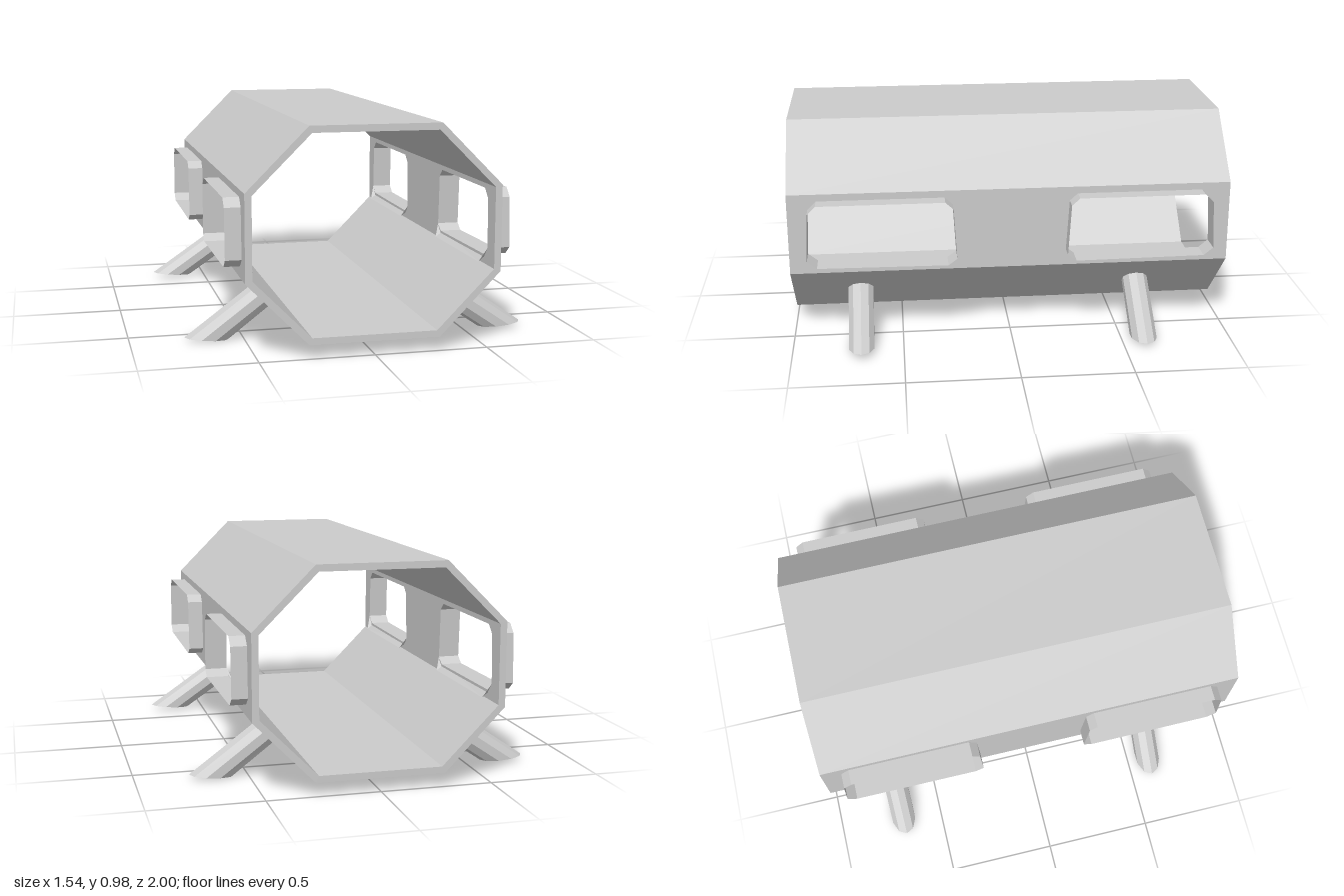
import * as THREE from 'three';

const solid = new THREE.MeshStandardMaterial({ color: 0xcccccc, flatShading: true });
const sheet = new THREE.MeshStandardMaterial({ color: 0xcccccc, flatShading: true, side: THREE.DoubleSide });

// Window outline in (z, y), front window; the back one is its mirror image
const WINDOW = [
  [0.25, 0.41], [0.29, 0.38], [0.875, 0.385], [0.918, 0.42],
  [0.908, 0.64], [0.87, 0.678], [0.3, 0.678], [0.264, 0.645],
];

function addMesh(parent, name, geometry, material) {
  const mesh = new THREE.Mesh(geometry, material);
  mesh.name = name;
  parent.add(mesh);
}

function polygon(points, Type = THREE.Shape) {
  return new Type(points.map(([x, y]) => new THREE.Vector2(x, y)));
}

// Open band of quads between two closed rings of [x, y, z] points
function band(a, b) {
  const n = a.length;
  const index = [];
  for (let i = 0; i < n; i++) {
    const j = (i + 1) % n;
    index.push(i, j, n + j, i, n + j, n + i);
  }
  const g = new THREE.BufferGeometry();
  g.setAttribute('position', new THREE.Float32BufferAttribute([...a, ...b].flat(), 3));
  g.setIndex(index);
  const flat = g.toNonIndexed();
  flat.computeVertexNormals();
  return flat;
}

// Three-panel shell running the full length: roof or floor
function shell(outer, inner) {
  const right = (p) => [-p[0], p[1]];
  const pts = [
    ...outer, ...[...outer].reverse().map(right),
    ...inner.map(right), ...[...inner].reverse(),
  ];
  const g = new THREE.ExtrudeGeometry(polygon(pts), { depth: 2, bevelEnabled: false });
  return g.translate(0, 0, -1);
}

// Upright side wall with two window openings
function sideWall(side) {
  const shape = polygon([[-1, 0.335], [1, 0.335], [1, 0.71], [-1, 0.71]]);
  for (const s of [1, -1]) {
    shape.holes.push(polygon(WINDOW.map(([z, y]) => [z * s, y]), THREE.Path));
  }
  const g = new THREE.ExtrudeGeometry(shape, { depth: 0.03, bevelEnabled: false });
  return g.rotateY(-Math.PI / 2).translate(side > 0 ? 0.555 : -0.525, 0, 0);
}

// Thin window surround, its lower edge turned inwards as a small sill
function windowFrame(side, end) {
  const outer = WINDOW.map(([z, y]) => [side * 0.625, y, z * end]);
  const wall = WINDOW.map(([z, y]) => [side * 0.54, y, z * end]);
  const inner = WINDOW.map(([z, y], i) =>
    i === 1 || i === 2 ? [side * 0.5, 0.352, z * end] : [side * 0.525, y, z * end]);
  return [band(outer, wall), band(wall, inner)];
}

// Hollow slanted leg: top cut along the sloping panel, foot cut near the ground
function leg(side, z, footX, footY) {
  const top = [], foot = [];
  const n = 10;
  for (let i = 0; i < n; i++) {
    const t = (i / n) * Math.PI * 2;
    const c = Math.cos(t), dz = 0.06 * Math.sin(t);
    top.push([side * (0.415 + 0.045 * c), 0.193 + 0.046 * c, z + dz]);
    foot.push([side * (footX + 0.1 * c), footY + 0.008 * c, z + dz]);
  }
  return band(top, foot);
}

export function createModel() {
  const model = new THREE.Group();
  model.name = 'octagonalCapsule';

  addMesh(model, 'roof', shell(
    [[0.555, 0.71], [0.285, 0.98]], [[0.525, 0.7], [0.273, 0.95]]), solid);
  addMesh(model, 'floor', shell(
    [[0.555, 0.335], [0.285, 0.06]], [[0.525, 0.345], [0.273, 0.09]]), solid);

  for (const side of [1, -1]) {
    const label = side > 0 ? 'left' : 'right';
    addMesh(model, label + 'Wall', sideWall(side), solid);

    for (const end of [1, -1]) {
      const place = label + (end > 0 ? 'Front' : 'Back');
      const frame = new THREE.Group();
      frame.name = place + 'WindowFrame';
      const [surround, sill] = windowFrame(side, end);
      addMesh(frame, 'surround', surround, sheet);
      addMesh(frame, 'sill', sill, sheet);
      model.add(frame);

      // Legs are staggered: the pattern repeats under a half turn
      const far = side === end;
      addMesh(model, place + 'Leg',
        far ? leg(side, 0.69 * end, 0.672, 0.018) : leg(side, 0.602 * end, 0.662, 0.008), sheet);
    }
  }
  return model;
}
